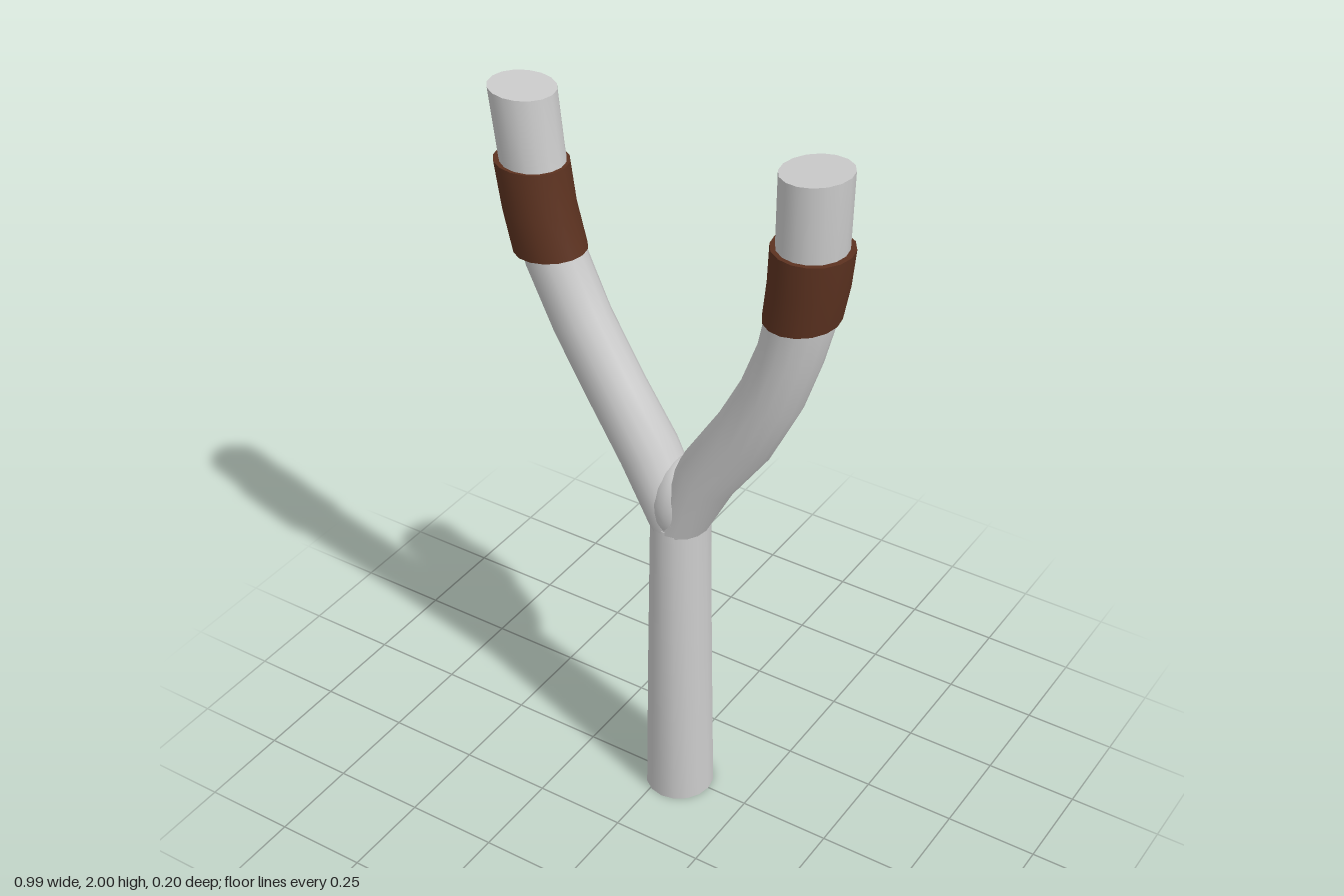
import * as THREE from 'three';

const SIDES = 16;

// Closed tube through rings [x, y, z, tilt about z, half width, half depth],
// smooth along its length with flat, sharp-edged end caps.
function loft(name, rings, color = 0xcccccc) {
  const pos = [], index = [];
  const addRing = ([x, y, z, tilt, w, d]) => {
    const start = pos.length / 3;
    for (let j = 0; j < SIDES; j++) {
      const a = (j / SIDES) * Math.PI * 2, u = Math.cos(a) * w;
      pos.push(x + u * Math.cos(tilt), y - u * Math.sin(tilt), z + Math.sin(a) * d);
    }
    return start;
  };
  const starts = rings.map(addRing);
  for (let i = 0; i < starts.length - 1; i++) {
    for (let j = 0; j < SIDES; j++) {
      const k = (j + 1) % SIDES, a = starts[i], b = starts[i + 1];
      index.push(a + j, b + j, b + k, a + j, b + k, a + k);
    }
  }
  // End caps with their own vertices
  [rings[0], rings[rings.length - 1]].forEach((ring, top) => {
    const s = addRing(ring), c = pos.length / 3;
    pos.push(ring[0], ring[1], ring[2]);
    for (let j = 0; j < SIDES; j++) {
      const k = (j + 1) % SIDES;
      if (top) index.push(c, s + k, s + j);
      else index.push(c, s + j, s + k);
    }
  });
  const geo = new THREE.BufferGeometry();
  geo.setAttribute('position', new THREE.Float32BufferAttribute(pos, 3));
  geo.setIndex(index);
  geo.computeVertexNormals();
  const mesh = new THREE.Mesh(geo, new THREE.MeshStandardMaterial({ color }));
  mesh.name = name;
  return mesh;
}

export function createModel() {
  const group = new THREE.Group();
  group.name = 'slingshot';
  const leather = 0x5c3220;

  // Tapered handle
  group.add(loft('handle', [
    [0.042, 0, 0, 0, 0.092, 0.096],
    [0.04, 0.45, 0, 0, 0.085, 0.09],
    [0.04, 0.9, 0, 0, 0.077, 0.085],
  ]));

  // Rounded fill where the fork splits
  const crotch = new THREE.Mesh(
    new THREE.SphereGeometry(1, 24, 16),
    new THREE.MeshStandardMaterial({ color: 0xcccccc })
  );
  crotch.name = 'forkJoint';
  crotch.scale.set(0.08, 0.125, 0.089);
  crotch.position.set(0.044, 0.95, 0);
  group.add(crotch);

  // Fork arms, each curving up to a near-level tip
  group.add(loft('leftArm', [
    [0.04, 0.88, 0, 0, 0.076, 0.084],
    [0.125, 1.07, 0.003, 0.53, 0.08, 0.085],
    [0.225, 1.22, 0.004, 0.55, 0.084, 0.084],
    [0.3, 1.37, 0.004, 0.4, 0.082, 0.086],
    [0.345, 1.5, 0.003, 0.26, 0.08, 0.087],
    [0.372, 1.62, 0, 0.1, 0.084, 0.088],
    [0.39, 1.8, 0, 0, 0.086, 0.088],
    [0.393, 1.993, 0, -0.08, 0.088, 0.088],
  ]));
  group.add(loft('rightArm', [
    [0.04, 0.88, 0, 0, 0.076, 0.084],
    [-0.055, 1.07, 0, -0.55, 0.08, 0.08],
    [-0.15, 1.22, 0, -0.55, 0.08, 0.075],
    [-0.25, 1.39, 0, -0.48, 0.079, 0.075],
    [-0.325, 1.55, 0, -0.32, 0.079, 0.077],
    [-0.362, 1.68, 0, -0.16, 0.08, 0.079],
    [-0.388, 1.82, 0, -0.08, 0.083, 0.08],
    [-0.409, 1.987, 0, 0.03, 0.087, 0.08],
  ]));

  // Leather wraps near the tips
  group.add(loft('leftWrap', [
    [0.37, 1.605, 0, -0.05, 0.093, 0.1],
    [0.384, 1.7, 0, -0.03, 0.097, 0.1],
    [0.391, 1.8, 0, -0.01, 0.1, 0.1],
  ], leather));
  group.add(loft('rightWrap', [
    [-0.341, 1.568, 0, -0.08, 0.096, 0.088],
    [-0.37, 1.68, 0, -0.05, 0.095, 0.088],
    [-0.389, 1.8, 0, 0, 0.097, 0.088],
  ], leather));

  return group;
}
